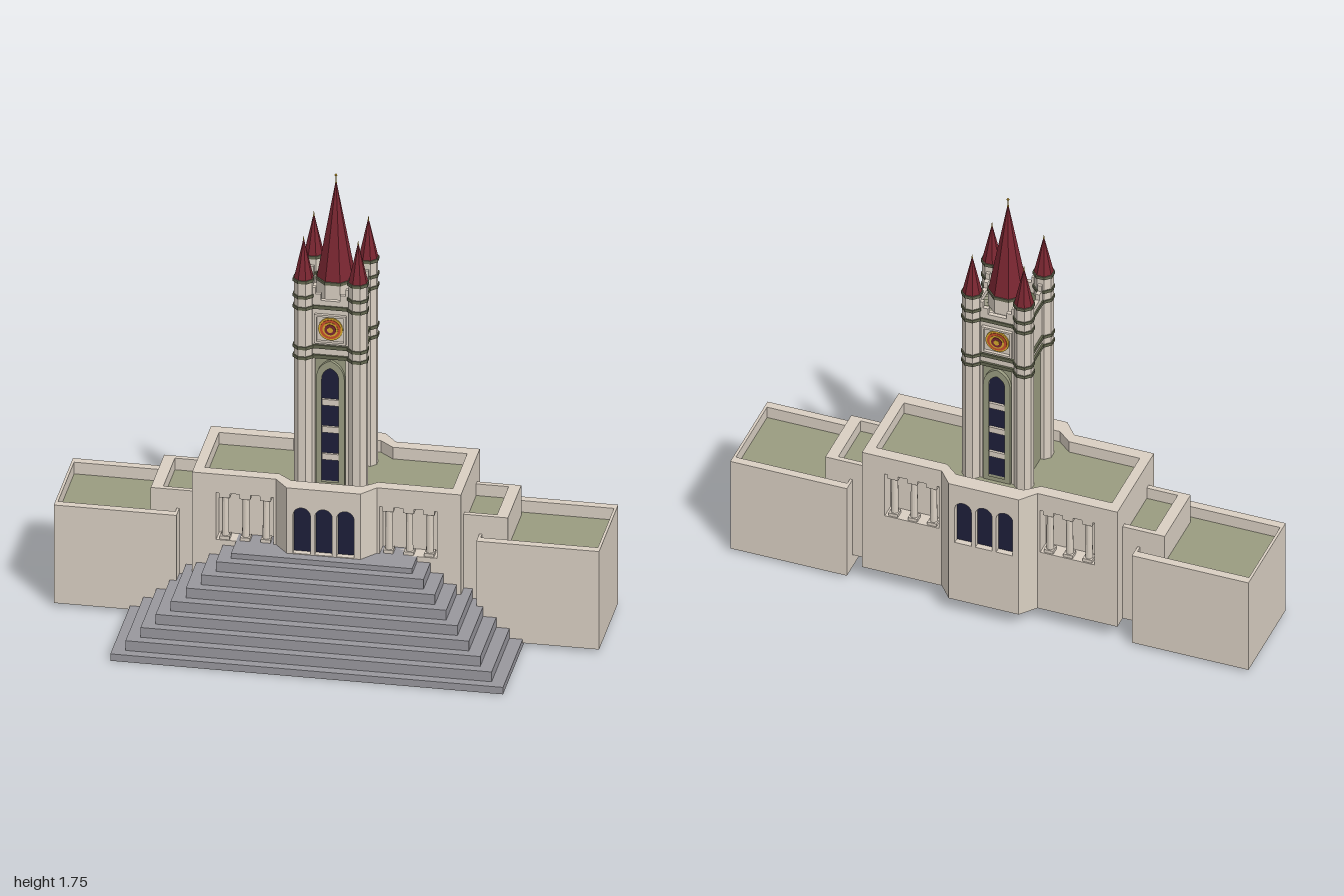
import * as THREE from 'three';

const mat = (color) => new THREE.MeshStandardMaterial({ color, flatShading: true });

export function createModel() {
  const stone = mat(0xd9cfc2), green = mat(0x999b80), darkGreen = mat(0x63664f), roof = mat(0x7a2631);
  const grey = mat(0x98979d), navy = mat(0x1d1f3a), gold = mat(0xd9a92e), orange = mat(0xc8502a);

  const model = new THREE.Group();
  const building = new THREE.Group();
  building.name = 'building';
  building.position.z = -0.174;
  model.add(building);

  const add = (parent, name, geo, material, x = 0, y = 0, z = 0) => {
    const m = new THREE.Mesh(geo, material);
    m.name = name;
    m.position.set(x, y, z);
    parent.add(m);
    return m;
  };
  // Box given by its limits
  const box = (parent, name, material, x0, x1, y0, y1, z0, z1) =>
    add(parent, name, new THREE.BoxGeometry(x1 - x0, y1 - y0, z1 - z0), material,
      (x0 + x1) / 2, (y0 + y1) / 2, (z0 + z1) / 2);
  const toShape = (pts) => new THREE.Shape(pts.map(([x, y]) => new THREE.Vector2(x, y)));
  const rect = (x0, x1, h) => [[x0, -h], [x1, -h], [x1, h], [x0, h]];
  // Plan outline (x, -z) raised from y0 to y1, optionally hollow
  const slab = (name, material, pts, y0, y1, hole) => {
    const s = toShape(pts);
    if (hole) s.holes.push(toShape(hole));
    const g = new THREE.ExtrudeGeometry(s, { depth: y1 - y0, bevelEnabled: false });
    g.rotateX(-Math.PI / 2);
    return add(building, name, g, material, 0, y0, 0);
  };
  // Flat roofed block with a parapet around a sunken deck
  const block = (name, outline, inner, y0, y1, sink) => {
    slab(name + 'Walls', stone, outline, y0, y1 - sink);
    slab(name + 'Parapet', stone, outline, y1 - sink, y1, inner);
    slab(name + 'Deck', green, inner, y1 - sink - 0.01, y1 - sink + 0.003);
  };
  const arch = (path, x, r, y0, y1, pointed) => {
    const spring = y1 - r * (pointed ? 1.5 : 1);
    path.moveTo(x - r, y0);
    path.lineTo(x - r, spring);
    if (pointed) {
      path.quadraticCurveTo(x - r, y1 - r * 0.4, x, y1);
      path.quadraticCurveTo(x + r, y1 - r * 0.4, x + r, spring);
    } else path.absarc(x, spring, r, Math.PI, 0, true);
    path.lineTo(x + r, y0);
    path.closePath();
    return path;
  };
  const extrude = (shape, depth) =>
    new THREE.ExtrudeGeometry(shape, { depth, bevelEnabled: false, curveSegments: 10 });
  // Octagonal prism or pyramid with flat sides to the axes
  const octagon = (parent, name, material, rTop, rBottom, y0, y1, x = 0, z = 0) => {
    const g = new THREE.CylinderGeometry(rTop, rBottom, y1 - y0, 8).rotateY(Math.PI / 8);
    return add(parent, name, g, material, x, (y0 + y1) / 2, z);
  };

  // Staircase
  for (let i = 0; i < 9; i++) {
    const top = i === 8 ? 0.325 : 0.028 + i * 0.0395;
    const bottom = i === 0 ? 0 : 0.028 + (i - 1) * 0.0395;
    const w = 0.72 - i * 0.0485;
    box(model, 'step', grey, -w, w, bottom, top, -0.05, 0.4 - i * 0.0365);
  }

  // Side wings and the links to the hall
  for (const s of [-1, 1]) {
    const span = (a, b, h) => (s > 0 ? rect(a, b, h) : rect(-b, -a, h));
    block('wing', span(0.55, 1, 0.188), span(0.56, 0.99, 0.157), 0.013, 0.41, 0.05);
    block('link', span(0.48, 0.655, 0.131), span(0.49, 0.612, 0.112), 0.067, 0.485, 0.05);
  }

  // Central hall: plan with a canted bay front and back
  const plan = (w, h, bayW, bayFace, bayZ) => {
    const half = [[w, h], [bayW, h], [bayFace, bayZ], [-bayFace, bayZ], [-bayW, h], [-w, h]];
    return [...half, ...half.map(([x, y]) => [-x, -y])];
  };
  const hallPlan = plan(0.493, 0.185, 0.185, 0.135, 0.245);
  const recessHalf = [[0.493, 0.185], [0.405, 0.185], [0.405, 0.125], [0.195, 0.125], [0.195, 0.185],
    [0.185, 0.185], [0.135, 0.245], [0.135, 0.215], [-0.135, 0.215], [-0.135, 0.245], [-0.185, 0.185],
    [-0.195, 0.185], [-0.195, 0.125], [-0.405, 0.125], [-0.405, 0.185], [-0.493, 0.185]];
  const low = 0.325, high = 0.515;
  slab('hallBase', stone, hallPlan, 0.067, low);
  slab('hallMiddle', stone, [...recessHalf, ...recessHalf.map(([x, y]) => [-x, -y])], low, high);
  slab('hallTop', stone, hallPlan, high, 0.54);
  const hallInner = plan(0.455, 0.14, 0.182, 0.13, 0.184);
  slab('hallParapet', stone, hallPlan, 0.54, 0.59, hallInner);
  slab('hallDeck', green, hallInner, 0.53, 0.543);

  // Tower core and bands
  box(building, 'towerShaft', green, -0.1, 0.1, 0.54, 1.06, -0.1, 0.1);
  box(building, 'clockStage', stone, -0.105, 0.105, 1.06, 1.27, -0.105, 0.105);
  for (const y of [1.063, 1.103, 1.263])
    box(building, 'towerBand', darkGreen, -0.113, 0.113, y - 0.007, y + 0.007, -0.113, 0.113);

  // Parts shared by front and back
  for (const turn of [0, Math.PI]) {
    const face = new THREE.Group();
    face.name = turn ? 'backFace' : 'frontFace';
    face.rotation.y = turn;
    building.add(face);

    // Arched doors
    const wall = toShape([[-0.135, low], [0.135, low], [0.135, high], [-0.135, high]]);
    for (const x of [-0.08, 0, 0.08]) wall.holes.push(arch(new THREE.Path(), x, 0.032, low + 0.003, high - 0.002));
    add(face, 'doorWall', extrude(wall, 0.03), stone, 0, 0, 0.215);
    box(face, 'doors', navy, -0.13, 0.13, low, high, 0.21, 0.222);

    // Colonnades
    for (const s of [-1, 1]) for (const x of [0.225, 0.3, 0.375]) {
      const g = new THREE.CylinderGeometry(0.012, 0.014, high - low, 12);
      add(face, 'column', g, stone, s * x, (low + high) / 2, 0.162);
      box(face, 'capital', stone, s * x - 0.02, s * x + 0.02, high - 0.02, high, 0.142, 0.182);
      box(face, 'columnBase', stone, s * x - 0.018, s * x + 0.018, low, low + 0.013, 0.144, 0.18);
    }

    // Tall tower window
    const frame = arch(new THREE.Shape(), 0, 0.052, 0.54, 1.05, true);
    frame.holes.push(arch(new THREE.Path(), 0, 0.031, 0.56, 1.02, true));
    add(face, 'windowFrame', extrude(frame, 0.014), green, 0, 0, 0.1);
    add(face, 'windowGlass', extrude(arch(new THREE.Shape(), 0, 0.033, 0.56, 1.022, true), 0.004), navy, 0, 0, 0.099);
    for (const y of [0.66, 0.77, 0.88])
      box(face, 'windowBar', stone, -0.031, 0.031, y - 0.012, y + 0.012, 0.1, 0.112);
    for (const s of [-1, 1])
      box(face, 'pilaster', stone, s * 0.064 - 0.008, s * 0.064 + 0.008, 0.54, 1.06, 0.1, 0.11);

    // Clock
    const surround = toShape([[-0.058, -0.058], [0.058, -0.058], [0.058, 0.058], [-0.058, 0.058]]);
    surround.holes.push(toShape([[-0.05, -0.05], [0.05, -0.05], [0.05, 0.05], [-0.05, 0.05]]));
    add(face, 'clockSurround', extrude(surround, 0.012), stone, 0, 1.177, 0.105);
    [[0.045, gold], [0.038, orange], [0.028, gold], [0.021, roof], [0.011, gold]].forEach(([r, m], i) => {
      const g = new THREE.CylinderGeometry(r, r, 0.008, 28).rotateX(Math.PI / 2);
      add(face, 'clockRing', g, m, 0, 1.177, 0.106 + i * 0.002);
    });
  }

  // Stepped parapet on the four sides of the tower
  for (let i = 0; i < 4; i++) {
    const s = toShape([[-0.08, 1.265], [0.08, 1.265], [0.08, 1.34], [0.055, 1.34], [0.055, 1.315],
      [0.035, 1.315], [0.035, 1.29], [-0.035, 1.29], [-0.035, 1.315], [-0.055, 1.315], [-0.055, 1.34], [-0.08, 1.34]]);
    const g = extrude(s, 0.016).translate(0, 0, 0.092).rotateY(i * Math.PI / 2);
    add(building, 'towerParapet', g, stone);
  }

  // Corner turrets
  for (const sx of [-1, 1]) for (const sz of [-1, 1]) {
    const x = sx * 0.1, z = sz * 0.1;
    octagon(building, 'turret', stone, 0.036, 0.036, 0.54, 1.37, x, z);
    for (const y of [1.063, 1.103, 1.263, 1.308, 1.37])
      octagon(building, 'turretBand', darkGreen, 0.0405, 0.0405, y - 0.006, y + 0.006, x, z);
    octagon(building, 'turretRoof', roof, 0.001, 0.036, 1.376, 1.53, x, z);
    add(building, 'turretFinial', new THREE.CylinderGeometry(0.001, 0.003, 0.02, 6), gold, x, 1.53, z);
  }

  // Main spire
  octagon(building, 'spireDrum', stone, 0.072, 0.072, 1.26, 1.335);
  octagon(building, 'spireBand', darkGreen, 0.076, 0.076, 1.333, 1.345);
  octagon(building, 'spire', roof, 0.001, 0.071, 1.345, 1.725);
  add(building, 'spireFinial', new THREE.CylinderGeometry(0.0015, 0.003, 0.03, 6), gold, 0, 1.73, 0);
  add(building, 'spireBall', new THREE.SphereGeometry(0.005, 8, 6), gold, 0, 1.747, 0);

  return model;
}
